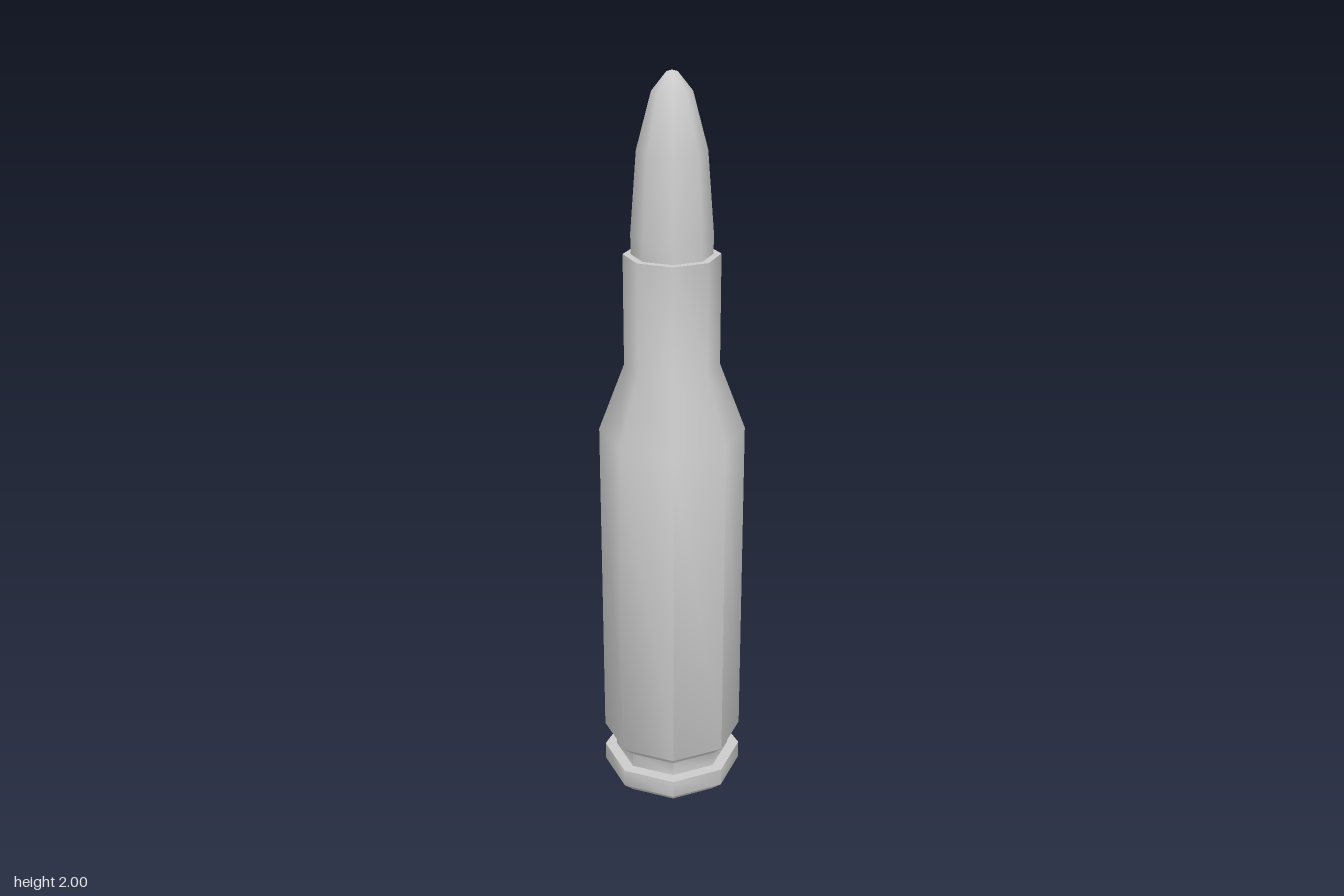
import * as THREE from 'three';
import { toCreasedNormals } from 'three/addons/utils/BufferGeometryUtils.js';

const SIDES = 8;

// Eight-sided turned part from [radius, height] pairs, bottom to top
function turned(name, profile, material) {
  const points = profile.map(([r, y]) => new THREE.Vector2(r, y));
  const geometry = toCreasedNormals(new THREE.LatheGeometry(points, SIDES), 1.0);
  const mesh = new THREE.Mesh(geometry, material);
  mesh.name = name;
  return mesh;
}

export function createModel() {
  const group = new THREE.Group();
  group.name = 'cartridge';
  const material = new THREE.MeshStandardMaterial({ color: 0xcccccc });

  // Case: base, rim, extractor groove, body, shoulder, neck and mouth
  group.add(turned('case', [
    [0, 0], [0.16, 0], [0.193, 0.03], [0.193, 0.08],
    [0.16, 0.08], [0.16, 0.12], [0.193, 0.15], [0.193, 1.07],
    [0.125, 1.25], [0.125, 1.545], [0.104, 1.545],
  ], material));

  // Bullet: seated in the neck, curving to a blunt tip
  group.add(turned('bullet', [
    [0.105, 1.53], [0.105, 1.6], [0.089, 1.807],
    [0.051, 1.95], [0.014, 1.996], [0, 2],
  ], material));

  return group;
}
